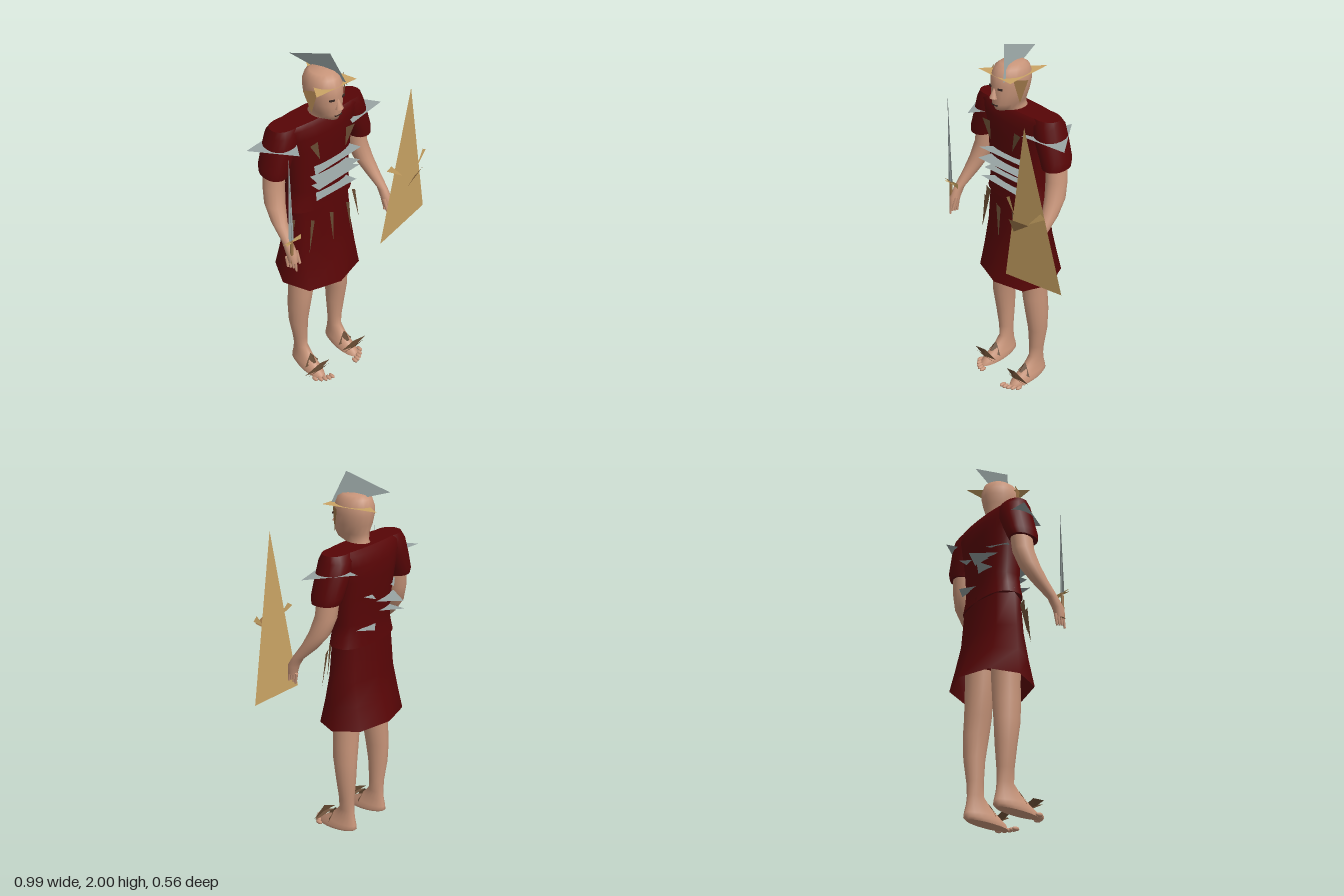
import * as THREE from 'three';

const mat = (name, color) => {
  const m = new THREE.MeshStandardMaterial({ color, side: THREE.DoubleSide });
  m.name = name;
  return m;
};

export function createModel() {
  const skin = mat('skin', 0xc79479), cloth = mat('red cloth', 0x570506), steel = mat('steel', 0x97a3a2);
  const gold = mat('gold', 0xcaa464), bronze = mat('bronze', 0x9c7548);
  const leather = mat('leather', 0x664a32), dark = mat('dark', 0x3a2a24);
  const model = new THREE.Group();
  model.name = 'soldier';
  const body = new THREE.Group();
  body.name = 'body';
  body.position.x = -0.085;
  model.add(body);

  const add = (parent, name, geo, material, x = 0, y = 0, z = 0) => {
    const m = new THREE.Mesh(geo, material);
    m.name = name;
    m.position.set(x, y, z);
    parent.add(m);
    return m;
  };

  // Loft through level rings, bottom up: [y, centre x, half width, front z, back z, rise at back]
  const loft = (rings, { open = false, power = 1, n = 18 } = {}) => {
    const pos = [], idx = [];
    const soft = v => Math.sign(v) * Math.abs(v) ** power;
    const ring = ([y, c, w, zf, zb, rise = 0]) => {
      for (let j = 0; j < n; j++) {
        const a = j / n * Math.PI * 2, s = soft(Math.sin(a));
        pos.push(c + w * soft(Math.cos(a)), y + rise * (1 - s) / 2, (zf + zb) / 2 + s * (zf - zb) / 2);
      }
    };
    rings.forEach(ring);
    for (let i = 0; i < rings.length - 1; i++) for (let j = 0; j < n; j++) {
      const a = i * n + j, c = i * n + (j + 1) % n;
      idx.push(a, a + n, c, c, a + n, c + n);
    }
    if (!open) for (const top of [false, true]) {
      const r = top ? rings[rings.length - 1] : rings[0], s = pos.length / 3;
      ring(r);
      pos.push(r[1], r[0] + (r[5] || 0) / 2, (r[3] + r[4]) / 2);
      for (let j = 0; j < n; j++) {
        const k = s + (j + 1) % n;
        idx.push(s + n, top ? k : s + j, top ? s + j : k);
      }
    }
    const g = new THREE.BufferGeometry();
    g.setAttribute('position', new THREE.Float32BufferAttribute(pos, 3));
    g.setIndex(idx);
    g.computeVertexNormals();
    return g;
  };

  // Thin loose triangles, nine numbers each
  const plates = (points) => {
    const g = new THREE.BufferGeometry();
    g.setAttribute('position', new THREE.Float32BufferAttribute(points, 3));
    g.computeVertexNormals();
    return g;
  };

  // Head and neck
  add(body, 'head', loft([
    [1.58, 0, 0.06, -0.02, -0.13], [1.65, 0, 0.055, 0.0, -0.125], [1.665, 0, 0.045, 0.07, -0.12],
    [1.70, 0, 0.064, 0.085, -0.115], [1.75, 0, 0.08, 0.083, -0.13], [1.80, 0, 0.088, 0.085, -0.14],
    [1.84, 0, 0.088, 0.08, -0.14], [1.88, 0, 0.076, 0.06, -0.125], [1.897, 0, 0.056, 0.03, -0.10],
    [1.903, 0, 0.012, -0.015, -0.05]]), skin);
  const nose = add(body, 'nose', new THREE.ConeGeometry(0.022, 0.075, 6), skin, 0, 1.768, 0.08);
  nose.rotation.x = -0.2;
  add(body, 'lips', new THREE.BoxGeometry(0.042, 0.006, 0.008), dark, 0, 1.695, 0.08);
  for (const s of [-1, 1]) {
    const eye = add(body, 'eye', new THREE.BoxGeometry(0.026, 0.009, 0.008), dark, s * 0.036, 1.785, 0.074);
    eye.rotation.y = s * 0.3;
  }

  // Tunic and open eight-sided skirt with a peak at the back
  add(body, 'tunic', loft([
    [1.14, 0, 0.21, 0.022, -0.187], [1.20, 0, 0.194, 0.018, -0.18], [1.26, 0, 0.184, 0.018, -0.18],
    [1.40, 0, 0.2, 0.02, -0.185], [1.50, 0, 0.21, 0.022, -0.197], [1.58, 0, 0.24, 0.02, -0.193],
    [1.635, 0, 0.275, 0.01, -0.175], [1.655, 0, 0.28, -0.01, -0.15]], { power: 0.8, n: 24 }), cloth);
  add(body, 'skirt', loft([
    [0.655, 0, 0.248, 0.10, -0.275, 0.045], [0.80, 0, 0.237, 0.06, -0.235, 0.02],
    [0.95, 0, 0.222, 0.03, -0.2], [1.17, 0, 0.203, 0.018, -0.185]],
    { open: true, power: 0.9, n: 8 }), cloth);

  for (const s of [-1, 1]) {
    // Sleeve, arm and fingers
    add(body, 'sleeve', loft([
      [1.405, s * 0.283, 0.063, -0.005, -0.16, 0.01], [1.45, s * 0.275, 0.069, 0, -0.172],
      [1.55, s * 0.235, 0.082, 0.0, -0.175], [1.62, s * 0.215, 0.082, -0.005, -0.168],
      [1.655, s * 0.2, 0.085, -0.02, -0.145]], { power: 0.9 }), cloth);
    add(body, 'arm', loft([
      [0.99, s * 0.335, 0.022, 0.13, 0.075], [1.04, s * 0.335, 0.027, 0.125, 0.06],
      [1.09, s * 0.334, 0.024, 0.095, 0.03], [1.17, s * 0.322, 0.037, 0.04, -0.055],
      [1.25, s * 0.304, 0.05, 0.0, -0.115], [1.34, s * 0.285, 0.054, -0.025, -0.142],
      [1.46, s * 0.272, 0.054, -0.03, -0.15]]), skin);
    for (let i = 0; i < 4; i++) {
      const f = add(body, 'finger', new THREE.CylinderGeometry(0.009, 0.006, 0.06, 6), skin,
        s * (0.345 - i * 0.003), 0.972 + (i % 3) * 0.005, 0.07 + i * 0.018);
      f.rotation.x = -0.15;
    }
    const thumb = add(body, 'thumb', new THREE.CylinderGeometry(0.011, 0.007, 0.07, 6), skin, s * 0.312, 1.01, 0.115);
    thumb.rotation.x = -0.4;

    // Leg, foot and toes
    add(body, 'leg', loft([
      [0.004, s * 0.13, 0.046, 0.10, -0.145, 0.022], [0.03, s * 0.13, 0.05, 0.085, -0.16, 0.008],
      [0.06, s * 0.13, 0.043, 0.045, -0.157], [0.10, s * 0.13, 0.035, -0.005, -0.147],
      [0.15, s * 0.13, 0.032, -0.048, -0.14], [0.22, s * 0.133, 0.039, -0.05, -0.14],
      [0.34, s * 0.14, 0.052, -0.04, -0.152], [0.46, s * 0.139, 0.059, -0.02, -0.157],
      [0.56, s * 0.129, 0.067, -0.012, -0.155], [0.68, s * 0.122, 0.075, -0.01, -0.155],
      [0.80, s * 0.12, 0.08, 0.0, -0.155]]), skin);
    for (let i = 0; i < 5; i++) {
      const toe = add(body, 'toe', new THREE.SphereGeometry(0.011, 8, 6), skin,
        s * (0.09 + i * 0.021), 0.013, 0.118 - i * i * 0.003);
      toe.scale.z = 2;
    }
    // Sandal straps: steep bow across the toes and a tie across the instep
    add(body, 'sandalStrap', plates([
      s * 0.05, 0.07, 0.055, s * 0.13, 0.105, 0.068, s * 0.14, 0.06, 0.075,
      s * 0.235, 0.065, 0.055, s * 0.13, 0.105, 0.068, s * 0.12, 0.06, 0.075,
      s * 0.06, 0.05, 0.06, s * 0.22, 0.05, 0.06, s * 0.13, 0.075, 0.085,
      s * 0.08, 0.05, -0.005, s * 0.13, 0.125, -0.015, s * 0.13, 0.08, 0.03,
      s * 0.18, 0.05, -0.005, s * 0.13, 0.125, -0.015, s * 0.13, 0.08, 0.03]), leather);

    // Cheek guard and chest strap
    add(body, 'cheekGuard', plates([
      s * 0.132, 1.84, -0.025, s * 0.09, 1.84, 0.035, s * 0.108, 1.72, 0.008]), bronze);
    add(body, 'chestStrap', plates([
      s * 0.15, 1.56, 0.04, s * 0.095, 1.56, 0.035, s * 0.085, 1.455, 0.04]), leather);
  }

  // Hanging skirt strips, slanting outward
  [[-0.205, -0.24, -0.04], [-0.135, -0.168, 0.03], [-0.02, -0.012, 0.045], [0.1, 0.12, 0.04], [0.2, 0.235, -0.02]]
    .forEach(([x, x2, z]) => add(body, 'skirtStrip', plates([
      x - 0.014, 1.11, z + 0.005, x + 0.016, 1.09, z, x2, 0.905, z + 0.01]), leather));

  // Helmet crest and brim
  add(model, 'crest', plates([-0.08, 2.0, 0.02, -0.125, 1.925, -0.22, -0.02, 1.83, 0.075]), steel);
  add(model, 'helmetBrim', plates([-0.22, 1.845, 0.075, 0.035, 1.845, 0.08, -0.025, 1.845, -0.215]), gold);

  // Shoulder plates and level bands round the trunk
  add(model, 'shoulderPlates', plates([
    -0.475, 1.555, -0.15, -0.325, 1.56, 0.065, -0.17, 1.575, -0.17,
    0.14, 1.575, -0.235, 0.315, 1.55, -0.025, 0.06, 1.56, 0.03]), steel);
  add(model, 'chestBands', plates([
    0, 1.41, -0.24, -0.23, 1.405, 0.07, 0.1, 1.41, 0.05,
    -0.17, 1.36, -0.285, -0.22, 1.35, 0.085, 0.08, 1.35, 0.065,
    -0.21, 1.30, -0.265, -0.2, 1.295, 0.06, 0.1, 1.30, 0.045,
    0, 1.24, -0.21, -0.22, 1.24, 0.065, 0.06, 1.235, 0.06]), steel);
  add(model, 'backBands', plates([
    -0.30, 1.41, -0.13, -0.2, 1.41, -0.2, -0.24, 1.41, -0.05,
    -0.17, 1.36, -0.285, -0.06, 1.36, -0.17, -0.25, 1.365, -0.16,
    -0.21, 1.30, -0.265, -0.1, 1.30, -0.18, -0.21, 1.30, -0.16,
    0, 1.24, -0.235, 0.07, 1.24, -0.17, -0.09, 1.24, -0.17]), steel);

  // Shield with boss and trim
  add(model, 'shield', plates([0.285, 1.745, 0.205, 0.12, 0.845, 0.185, 0.495, 0.885, 0.14]), gold);
  add(model, 'shieldBoss', plates([0.26, 1.27, 0.28, 0.25, 1.18, 0.24, 0.365, 1.265, 0.245]), bronze);
  add(model, 'shieldTrim', plates([
    0.14, 1.31, 0.195, 0.17, 1.33, 0.2, 0.235, 1.25, 0.22,
    0.40, 1.33, 0.2, 0.43, 1.31, 0.195, 0.335, 1.25, 0.22]), gold);

  // Sword
  add(model, 'swordBlade', plates([
    -0.433, 1.64, 0.11, -0.45, 1.13, 0.11, -0.417, 1.13, 0.11,
    -0.433, 1.64, 0.11, -0.433, 1.13, 0.106, -0.433, 1.13, 0.114]), steel);
  add(model, 'swordGuard', plates([
    -0.49, 1.13, 0.11, -0.37, 1.14, 0.11, -0.37, 1.11, 0.11,
    -0.475, 1.125, 0.125, -0.46, 1.12, 0.10, -0.38, 1.125, 0.11]), gold);
  add(model, 'swordGrip', new THREE.CylinderGeometry(0.008, 0.01, 0.14, 6), bronze, -0.432, 1.06, 0.11);

  return model;
}
